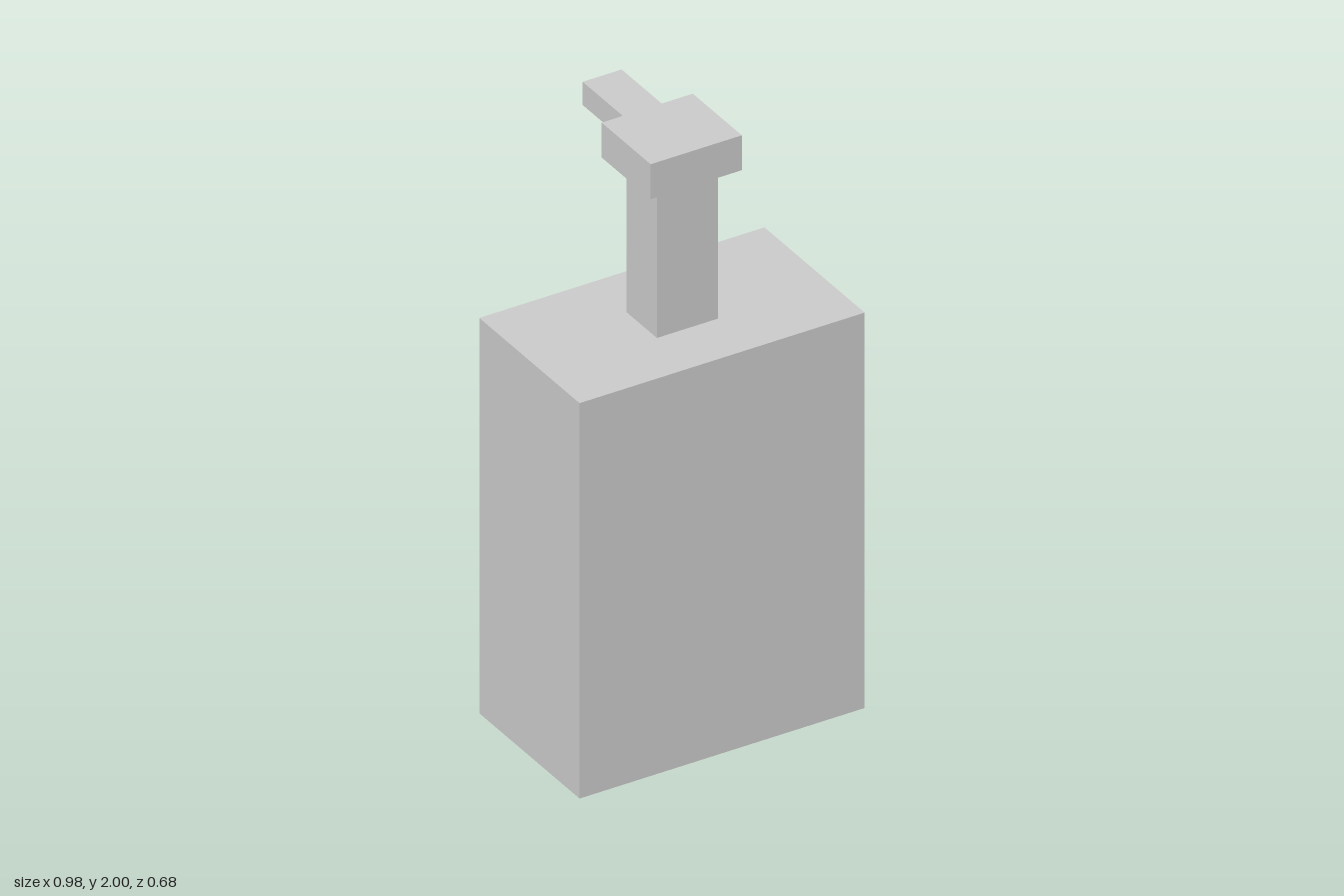
import * as THREE from 'three';

export function createModel() {
  const group = new THREE.Group();
  const material = new THREE.MeshStandardMaterial({ color: 0xcccccc, flatShading: true });

  // Box given by half width, and its bottom/top and back/front limits
  function addBox(name, halfWidth, [bottom, top], [back, front]) {
    const geometry = new THREE.BoxGeometry(2 * halfWidth, top - bottom, front - back);
    const mesh = new THREE.Mesh(geometry, material);
    mesh.position.set(0, (bottom + top) / 2, (back + front) / 2);
    mesh.name = name;
    group.add(mesh);
  }

  // Bottle with a pump on top, spout pointing to the back
  addBox('bottleBody', 0.491, [0, 1.36], [-0.227, 0.338]);
  addBox('pumpNeck', 0.105, [1.36, 1.88], [-0.03, 0.142]);
  addBox('pumpHead', 0.157, [1.88, 2], [-0.084, 0.192]);
  addBox('spout', 0.067, [1.9, 1.98], [-0.338, -0.084]);

  return group;
}
